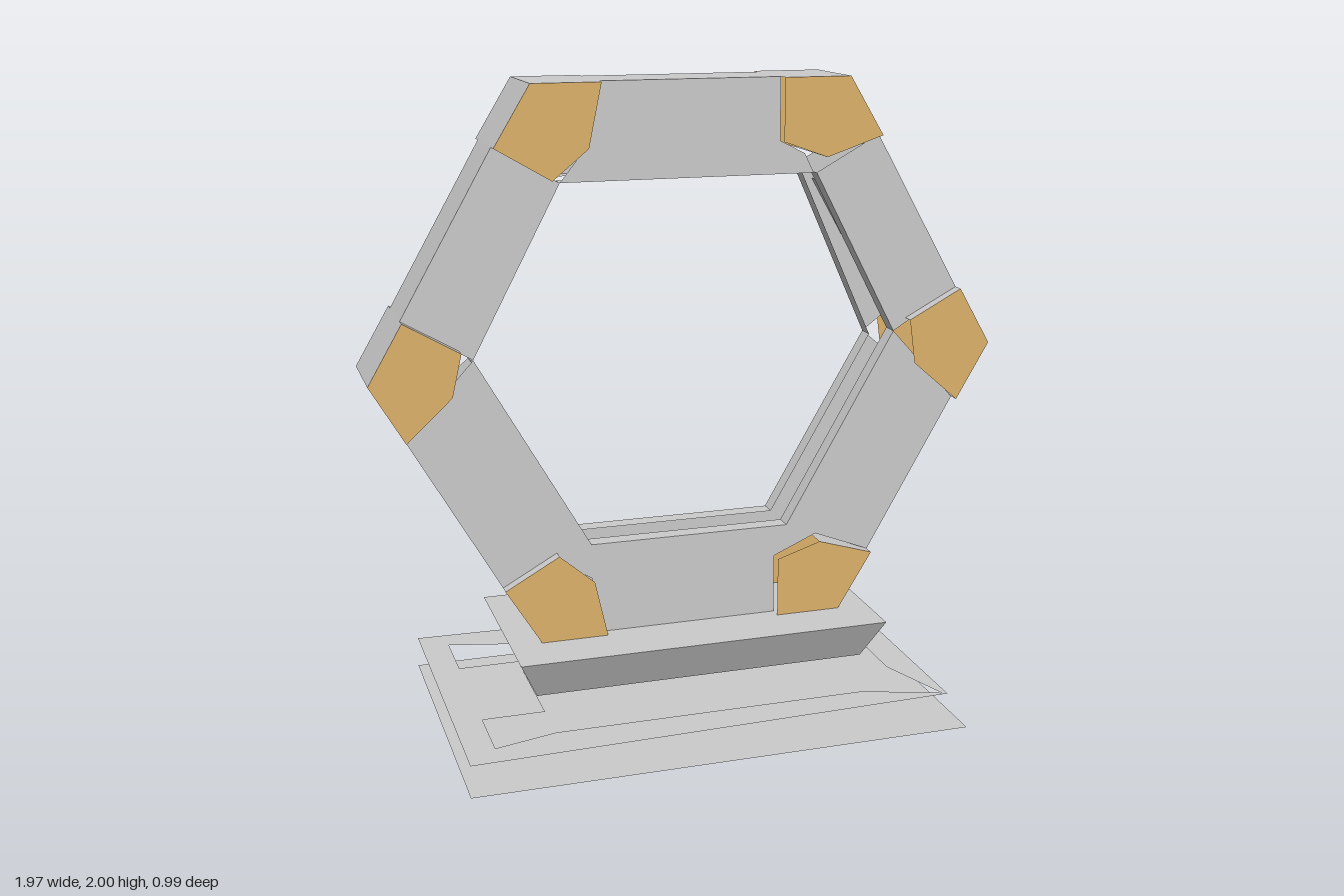
import * as THREE from 'three';

const grey = new THREE.MeshStandardMaterial({ color: 0xcccccc, side: THREE.DoubleSide, flatShading: true });
const amber = new THREE.MeshStandardMaterial({ color: 0xddb26a, side: THREE.DoubleSide, flatShading: true });
const toShape = pts => new THREE.Shape(pts.map(p => new THREE.Vector2(p[0], p[1])));

function add(parent, name, geometry, material = grey) {
  const mesh = new THREE.Mesh(geometry, material);
  mesh.name = name;
  parent.add(mesh);
  return mesh;
}

// Flat polygon facing z
function plate(pts, z) {
  return new THREE.ShapeGeometry(toShape(pts)).translate(0, 0, z);
}

// Four-cornered faces, corners as [x, y, z]
function quads(list) {
  const pos = list.flatMap(([a, b, c, d]) => [a, b, c, a, c, d].flat());
  const g = new THREE.BufferGeometry();
  g.setAttribute('position', new THREE.Float32BufferAttribute(pos, 3));
  g.computeVertexNormals();
  return g;
}

// Strip that follows an xy path between two depths
function wall(path, z0, z1) {
  return quads(path.slice(1).map((q, i) => {
    const p = path[i];
    return [[...p, z0], [...p, z1], [...q, z1], [...q, z0]];
  }));
}

const mirror = pts => pts.map(([x, y]) => [-x, y]).reverse();

export function createModel() {
  const model = new THREE.Group();
  model.name = 'hexagonalGate';

  // Six beams; the first two points of each are its outer edge
  const upper = [[0.6, 1.82], [0.88, 1.33], [0.67, 1.2], [0.4, 1.71]];
  const lower = [[0.88, 0.97], [0.6, 0.48], [0.32, 0.59], [0.67, 1.2]];
  const flip = ([a, b, c, d]) => [b, a, d, c].map(([x, y]) => [-x, y]);
  const beams = {
    topBeam: [[-0.28, 2], [0.28, 2], [0.28, 1.81], [0.36, 1.77], [0.39, 1.71], [-0.4, 1.71], [-0.32, 1.81]],
    leftUpperBeam: upper,
    leftLowerBeam: lower,
    bottomBeam: [[0.28, 0.3], [-0.28, 0.3], [-0.32, 0.48], [-0.43, 0.547], [-0.32, 0.59],
      [0.32, 0.59], [0.42, 0.551], [0.28, 0.49]],
    rightLowerBeam: flip(lower),
    rightUpperBeam: flip(upper),
  };
  const ring = new THREE.Group();
  ring.name = 'ring';
  model.add(ring);
  for (const [name, pts] of Object.entries(beams)) {
    const beam = new THREE.Group();
    beam.name = name;
    ring.add(beam);
    const back = pts.map(([x, y]) => (y === 1.2 ? [Math.sign(x) * 0.65, 1.16] : [x, y]));
    add(beam, 'frontFace', plate(pts, 0.1));
    add(beam, 'backFace', plate(back, -0.1));
    add(beam, 'outerWall', wall(pts.slice(0, 2), -0.1, 0.1));
    // Floor of the channel, moved from the outer edge toward the ring centre
    const floor = pts.slice(0, 2).map(([x, y]) => [x * 0.77, 1.15 + (y - 1.15) * 0.77]);
    add(beam, 'channelFloor', wall(floor, -0.1, 0.1));
  }

  // Inner lips either side of the channel
  const lip = (x, y) => [[0.4, 1.71], [x, y], [0.32, 0.59], [-0.32, 0.59], [-x, y], [-0.4, 1.71], [0.4, 1.71]];
  add(ring, 'frontInnerLip', wall(lip(0.67, 1.2), 0.045, 0.1));
  add(ring, 'backInnerLip', wall(lip(0.65, 1.16), -0.1, -0.045));

  // Corner caps: coloured faces, grey walls along the outside
  const caps = {
    topLeftCap: [[0.28, 2], [0.49, 2], [0.6, 1.82], [0.42, 1.76], [0.28, 1.81]],
    topRightCap: [[-0.28, 2], [-0.49, 2], [-0.6, 1.82], [-0.43, 1.72], [-0.32, 1.81]],
    leftCap: [[0.88, 0.97], [0.985, 1.15], [0.88, 1.33], [0.71, 1.24], [0.73, 1.1]],
    rightCap: [[-0.88, 0.97], [-0.985, 1.15], [-0.88, 1.33], [-0.71, 1.23], [-0.74, 1.1]],
    bottomLeftCap: [[0.28, 0.3], [0.49, 0.3], [0.6, 0.48], [0.42, 0.535], [0.28, 0.49]],
    bottomRightCap: [[-0.28, 0.3], [-0.49, 0.3], [-0.6, 0.48], [-0.43, 0.575], [-0.32, 0.48]],
  };
  for (const [name, pts] of Object.entries(caps)) {
    const cap = new THREE.Group();
    cap.name = name;
    model.add(cap);
    add(cap, 'frontFace', plate(pts, 0.136), amber);
    add(cap, 'backFace', plate(pts, -0.136), amber);
    add(cap, 'outerWall', wall(pts.slice(0, 4), -0.136, 0.136));
  }

  // Plinth: bevelled front and ends, upright back with two feet
  const plinth = new THREE.Group();
  plinth.name = 'plinth';
  model.add(plinth);
  const rect = (x, y, z) => [[-x, y, z], [x, y, z], [x, y, -z], [-x, y, -z]];
  const top = rect(0.59, 0.3, 0.295), low = rect(0.53, 0.17, 0.23);
  add(plinth, 'plinthTop', quads([top]));
  add(plinth, 'plinthUnderside', quads([low]));
  add(plinth, 'plinthBevels', quads([0, 1, 3].map(i => {
    const j = (i + 1) % 4;
    return [low[i], low[j], top[j], top[i]];
  })));
  add(plinth, 'plinthBack', plate([[-0.59, 0.3], [-0.53, 0.17], [-0.3, 0.1], [-0.3, 0.17], [0.3, 0.17],
    [0.3, 0.1], [0.49, 0.1], [0.49, 0.2], [0.59, 0.2], [0.59, 0.3]], -0.295));

  // Raised apron with a cut-out, above a flat ground plate
  const half = [[-0.5, 0.2], [-0.695, 0.2], [-0.695, 0.4], [-0.5, 0.35], [0.49, 0.35], [0.725, 0.435], [0.64, 0.2]];
  const apron = toShape([[-0.785, 0.49], [0.74, 0.445], [0.74, -0.445], [-0.785, -0.49]]);
  apron.holes.push(toShape([...half, ...half.map(([x, z]) => [x, -z]).reverse()]));
  add(model, 'apron', new THREE.ShapeGeometry(apron).rotateX(Math.PI / 2)).position.y = 0.1;
  add(model, 'groundPlate', quads([rect(0.787, 0, 0.493)]));

  return model;
}
